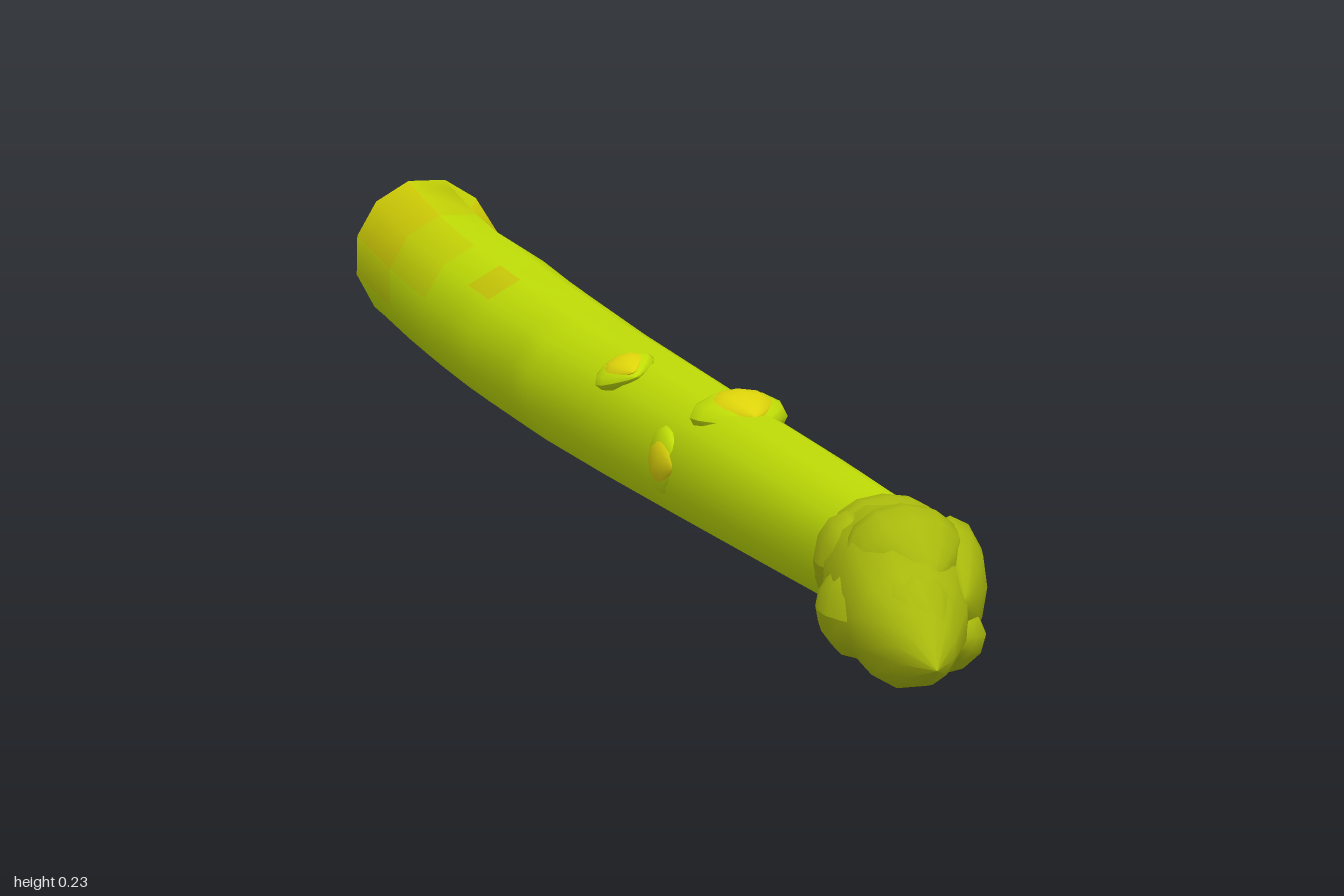
import * as THREE from 'three';

const SIDES = 12;
const material = (name, color) => {
  const m = new THREE.MeshStandardMaterial({ color });
  m.name = name;
  return m;
};

// Skin through elliptical rings [z, centreX, centreY, radiusX, radiusY, shear].
// adjust(p, ring, side) moves points; pick(ring, side) chooses a material group.
function loft(rings, adjust, pick = () => 0) {
  const pos = [], buckets = [];
  rings.forEach(([z, cx, cy, rx, ry, shear = 0], j) => {
    for (let i = 0; i < SIDES; i++) {
      const a = (i + 0.5) / SIDES * Math.PI * 2;
      const p = new THREE.Vector3(cx + rx * Math.cos(a), cy + ry * Math.sin(a), z + shear * ry * Math.sin(a));
      if (adjust) adjust(p, j, i);
      pos.push(p.x, p.y, p.z);
    }
  });
  for (let j = 0; j < rings.length - 1; j++) {
    for (let i = 0; i < SIDES; i++) {
      const n = (i + 1) % SIDES, a = j * SIDES + i, b = j * SIDES + n;
      (buckets[pick(j, i)] ??= []).push(a, b, a + SIDES, b, b + SIDES, a + SIDES);
    }
  }
  const g = new THREE.BufferGeometry();
  g.setAttribute('position', new THREE.Float32BufferAttribute(pos, 3));
  const index = [];
  buckets.forEach((faces, k) => {
    g.addGroup(index.length, faces.length, k);
    index.push(...faces);
  });
  g.setIndex(index);
  g.computeVertexNormals();
  return g;
}

// Rounded scale that narrows to a point towards +z
function bractGeometry() {
  const g = new THREE.SphereGeometry(1, 12, 9).rotateX(Math.PI / 2);
  const p = g.attributes.position;
  for (let i = 0; i < p.count; i++) {
    const k = 1 - 0.5 * Math.max(0, p.getZ(i));
    p.setXY(i, p.getX(i) * k, p.getY(i) * k);
  }
  g.computeVertexNormals();
  return g;
}

export function createModel() {
  const model = new THREE.Group();
  model.name = 'asparagusSpear';
  const green = material('stalkGreen', 0xbfdc06);
  const baseYellow = material('baseYellow', 0xcbc806);
  const baseFade = material('baseYellowGreen', 0xc4d206);
  const amber = material('amberPatch', 0xc8c808);
  const olive = material('tipOlive', 0xa8b80c);
  const yellow = material('scaleYellow', 0xdcd20a);
  const pale = material('cutPale', 0xc0c880);
  const rimGreen = material('cutRim', 0xaab00a);

  const add = (name, geometry, mat, parent = model) => {
    const mesh = new THREE.Mesh(geometry, mat);
    mesh.name = name;
    parent.add(mesh);
    return mesh;
  };

  // Stalk: gently bowed, thickest at the cut end, with a groove on one shoulder
  const rings = [
    [-0.985, -0.002, 0.135, 0.1, 0.106, 0.14],
    [-0.93, -0.001, 0.129, 0.099, 0.103, 0.08],
    [-0.8, 0.001, 0.115, 0.097, 0.098],
    [-0.7, 0.003, 0.107, 0.096, 0.095],
    [-0.62, 0.004, 0.102, 0.094, 0.094],
    [-0.5, 0.006, 0.095, 0.092, 0.091],
    [-0.41, 0.008, 0.091, 0.09, 0.089],
    [-0.235, 0.011, 0.085, 0.086, 0.085],
    [-0.17, 0.012, 0.083, 0.085, 0.083],
    [0.05, 0.013, 0.082, 0.078, 0.078],
    [0.3, 0.011, 0.084, 0.07, 0.071],
    [0.55, 0.007, 0.088, 0.064, 0.063],
    [0.78, 0.004, 0.09, 0.058, 0.054],
  ];
  const groove = (p, j, i) => {
    const d = [0, 0.034, 0.022, 0.008][j] ?? 0;
    if (i === 1) p.add(new THREE.Vector3(-d, -d, 0));
  };
  const colourOf = (j, i) => {
    if (j < 2 && [0, 3, 4].includes(i)) return 1;
    if ((j < 2 && [1, 2, 5, 11].includes(i)) || (j < 4 && [0, 3, 4].includes(i))) return 2;
    if ((i === 11 && (j === 3 || j === 7)) || (i === 3 && j === 5)) return 3;
    return 0;
  };
  add('stalk', loft(rings, groove, colourOf), [green, baseYellow, baseFade, amber]);

  // Slanted cut: outer rim and pale heart
  const cut = (rx, ry) => [-0.985, -0.002, 0.135, rx, ry, 0.14];
  add('cutRim', loft([cut(0.069, 0.076), cut(0.1, 0.106)]), rimGreen);
  add('cutHeart', loft([cut(0, 0), cut(0.069, 0.076)]), pale);

  // Scales along the stalk: green swelling with a yellow crest
  // x, y, z, half sizes, roll about the stalk
  const bract = bractGeometry();
  [
    [0.012, 0.143, 0.36, 0.052, 0.026, 0.05, 0],
    [-0.03, 0.147, 0.095, 0.036, 0.017, 0.036, 0.4],
    [-0.051, 0.092, 0.31, 0.036, 0.014, 0.042, 1.5],
  ].forEach(([x, y, z, w, h, l, roll]) => {
    const scale = new THREE.Group();
    scale.name = 'stalkScale';
    scale.position.set(x, y, z);
    scale.scale.set(w, h, l);
    scale.rotation.z = roll;
    model.add(scale);
    add('scaleSwelling', bract, green, scale);
    const crest = add('scaleCrest', bract, yellow, scale);
    crest.position.set(0, 0.3, 0.06);
    crest.scale.set(0.72, 0.8, 0.85);
  });
  const lowScale = add('tipBaseScale', bract, baseYellow);
  lowScale.position.set(0.058, 0.082, 0.74);
  lowScale.scale.set(0.016, 0.026, 0.03);

  // Bud: pointed core wrapped in broad bracts that melt into each other
  const bud = new THREE.Group();
  bud.name = 'bud';
  model.add(bud);
  add('budCore', loft([
    [0.74, 0.004, 0.09, 0.054, 0.05],
    [0.8, 0, 0.083, 0.062, 0.063],
    [0.87, -0.012, 0.082, 0.066, 0.068],
    [0.93, -0.026, 0.066, 0.051, 0.052],
    [0.97, -0.03, 0.056, 0.027, 0.029],
    [1, -0.031, 0.048, 0, 0],
  ]), olive, bud);
  // x, y, z, half sizes, yaw, pitch
  [
    [0.045, 0.092, 0.775, 0.03, 0.045, 0.05, 0.3, 0],
    [0.008, 0.122, 0.78, 0.05, 0.028, 0.04, 0, -0.2],
    [-0.036, 0.095, 0.8, 0.03, 0.045, 0.055, -0.2, 0],
    [0.02, 0.046, 0.81, 0.05, 0.04, 0.06, 0, 0.1],
    [-0.01, 0.117, 0.875, 0.054, 0.042, 0.055, 0, 0.2],
    [0.035, 0.085, 0.865, 0.033, 0.06, 0.06, -0.2, 0],
    [-0.052, 0.07, 0.885, 0.033, 0.042, 0.06, 0.2, 0],
    [0.015, 0.045, 0.885, 0.045, 0.034, 0.055, -0.2, -0.2],
    [-0.026, 0.077, 0.925, 0.042, 0.04, 0.06, 0, 0.3],
  ].forEach(([x, y, z, w, h, l, yaw, pitch]) => {
    const leaf = add('budBract', bract, olive, bud);
    leaf.position.set(x, y, z);
    leaf.scale.set(w, h, l);
    leaf.rotation.set(pitch, yaw, 0);
  });
  return model;
}
